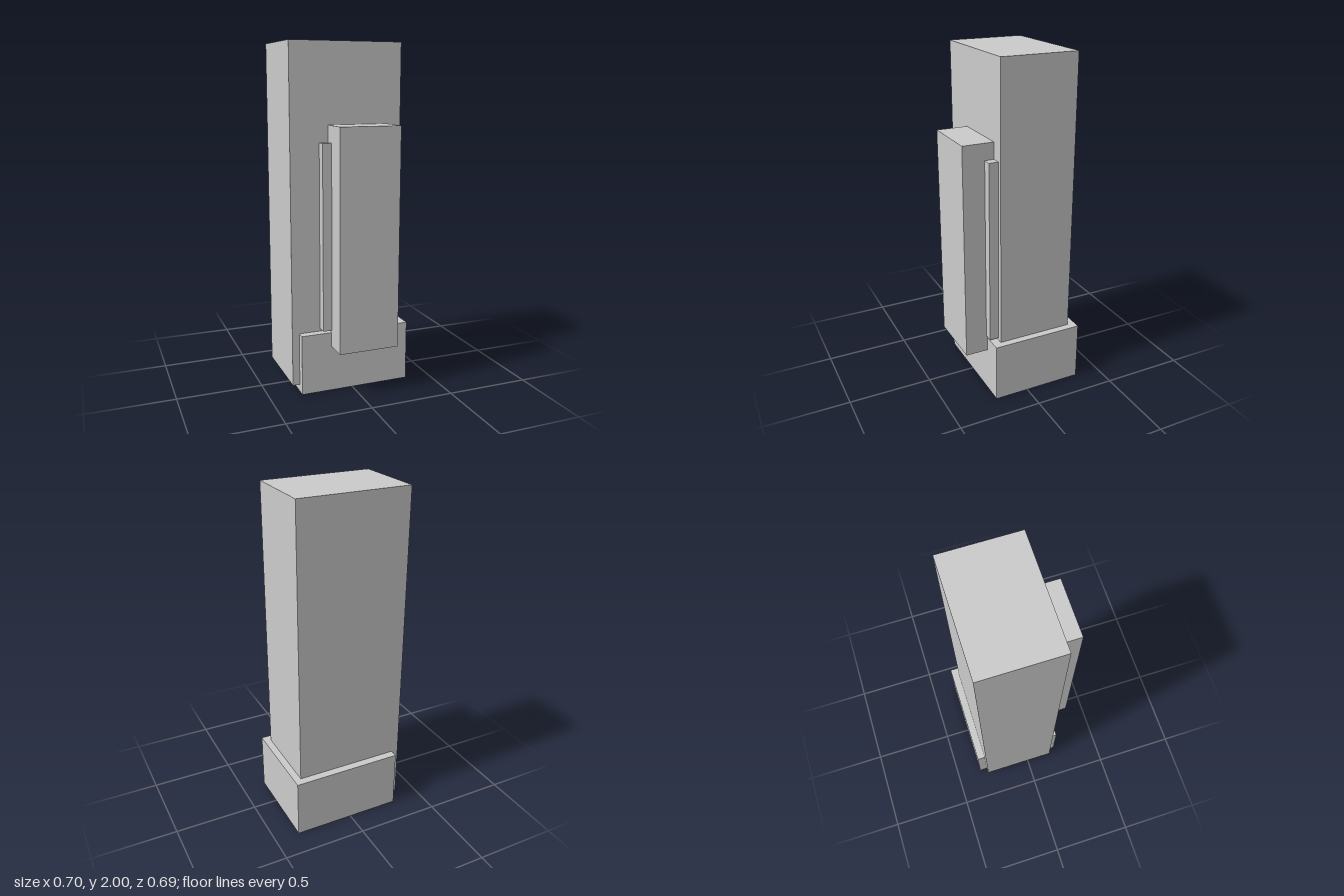
import * as THREE from 'three';

const material = new THREE.MeshStandardMaterial({ color: 0xcccccc, flatShading: true });

// Box given by its lower and upper limits on each axis
function block(name, [x0, x1], [y0, y1], [z0, z1]) {
  const mesh = new THREE.Mesh(new THREE.BoxGeometry(x1 - x0, y1 - y0, z1 - z0), material);
  mesh.position.set((x0 + x1) / 2, (y0 + y1) / 2, (z0 + z1) / 2);
  mesh.name = name;
  return mesh;
}

export function createModel() {
  const group = new THREE.Group();
  group.name = 'towerBlock';
  group.add(
    // Tall main body, shifted to the right and forward of its plinth
    block('tower', [-0.353, 0.31], [0.043, 2], [-0.296, 0.158]),
    // Low plinth
    block('base', [-0.311, 0.352], [0, 0.355], [-0.344, 0.206]),
    // Thin backing panel on the front, behind the bay
    block('backingPanel', [-0.183, 0.281], [0.37, 1.45], [0.1, 0.213]),
    // Projecting front bay, overhanging the plinth
    block('frontBay', [-0.13, 0.229], [0.27, 1.546], [0.1, 0.342])
  );
  return group;
}
